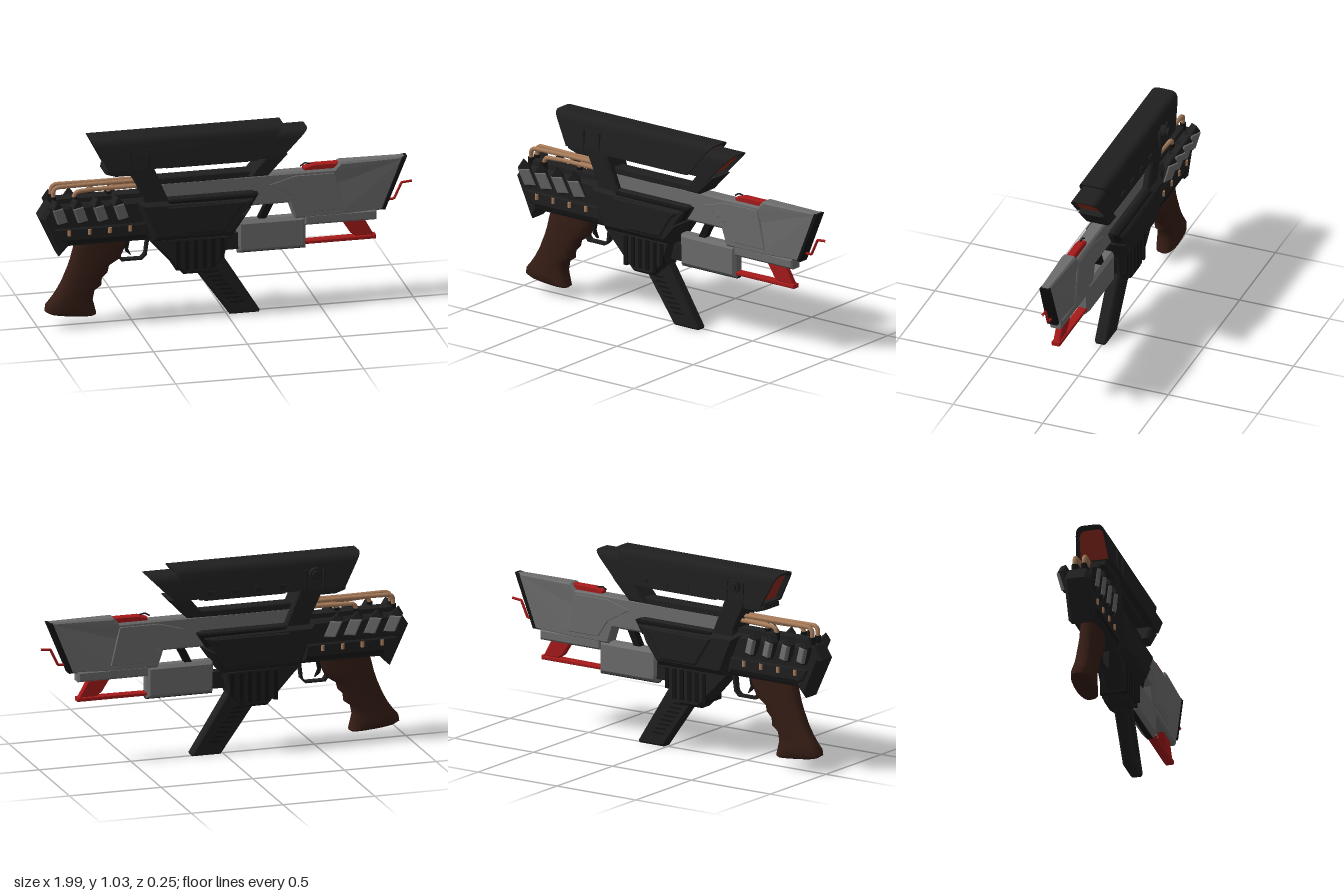
import * as THREE from 'three';
import { toCreasedNormals } from 'three/addons/utils/BufferGeometryUtils.js';

const mat = (color) => new THREE.MeshStandardMaterial({ color });

export function createModel() {
  const root = new THREE.Group();
  root.name = 'rifle';
  root.position.z = 0.01;
  const dark = mat(0x1f1f1f), black = mat(0x131313), grey = mat(0x6c6c6c), red = mat(0xa81a1a);
  const lens = mat(0x8c2a1e), copper = mat(0xa87c5a), brown = mat(0x351d15);

  const add = (name, geo, material, x = 0, y = 0, z = 0) => {
    const m = new THREE.Mesh(geo, material);
    m.name = name;
    m.position.set(x, y, z);
    root.add(m);
    return m;
  };
  const toShape = (pts) => new THREE.Shape(pts.map(([x, y]) => new THREE.Vector2(x, y)));
  // Side outline extruded to +-half, with a chamfer of size b across and t deep
  const slabGeo = (pts, half, b = 0, t = b, hole = null) => {
    const s = toShape(pts);
    if (hole) s.holes.push(toShape(hole));
    const g = new THREE.ExtrudeGeometry(s, {
      depth: 2 * (half - t), bevelEnabled: b > 0, bevelSize: b, bevelThickness: t, bevelOffset: -b, bevelSegments: 1,
    });
    return g.translate(0, 0, t - half);
  };
  const slab = (name, pts, half, material, b, t, hole) => add(name, slabGeo(pts, half, b, t, hole), material);
  const box = (name, w, h, d, material, x, y, z = 0) => add(name, new THREE.BoxGeometry(w, h, d), material, x, y, z);
  const tube = (name, pts, r, material, tension = 0.1) => add(name, new THREE.TubeGeometry(
    new THREE.CatmullRomCurve3(pts.map((p) => new THREE.Vector3(...p)), false, 'catmullrom', tension), 40, r, 8), material);

  // Scope: arched cross-section swept along x, both ends slanted
  const arch = (y0, y1, w0, w1, r) => {
    const s = new THREE.Shape();
    s.moveTo(-w0, y0);
    s.lineTo(w0, y0);
    s.lineTo(w1, y1 - r);
    s.quadraticCurveTo(w1 - 0.005, y1, w1 - r, y1);
    s.lineTo(r - w1, y1);
    s.quadraticCurveTo(0.005 - w1, y1, -w1, y1 - r);
    return s;
  };
  const sweep = (name, shape, hole, rear, front, material) => {
    if (hole) shape.holes.push(hole);
    const g = new THREE.ExtrudeGeometry(shape, { depth: 1, bevelEnabled: false, curveSegments: 8 });
    const p = g.attributes.position;
    const at = ([xLow, xHigh], y) => xLow + (xHigh - xLow) * (y - 0.865) / 0.17;
    for (let i = 0; i < p.count; i++) {
      const a = p.getX(i), y = p.getY(i), t = p.getZ(i);
      p.setXYZ(i, at(rear, y) * (1 - t) + at(front, y) * t, y, -a);
    }
    return add(name, toCreasedNormals(g, 0.6), material);
  };
  sweep('scopeHousing', arch(0.86, 1.035, 0.096, 0.08, 0.045), arch(0.872, 1.022, 0.078, 0.068, 0.035), [-0.645, -0.735], [0.155, 0.295], dark);
  sweep('scopeCore', arch(0.87, 1.024, 0.08, 0.07, 0.035), null, [-0.615, -0.705], [0.14, 0.28], lens);
  sweep('scopeNose', arch(0.862, 1.003, 0.084, 0.076, 0.04), arch(0.872, 0.992, 0.07, 0.065, 0.035), [0.1, 0.2], [0.285, 0.455], dark);
  sweep('scopeLens', arch(0.87, 0.994, 0.072, 0.067, 0.035), null, [0.05, 0.15], [0.262, 0.432], lens);
  box('scopeRail', 0.44, 0.025, 0.1, dark, -0.11, 0.853);
  slab('eyepieceFoot', [[-0.65, 0.865], [-0.655, 0.838], [-0.6, 0.82], [-0.5, 0.82], [-0.5, 0.865]], 0.07, dark, 0.008);
  for (const x of [-0.53, -0.43]) for (const s of [-1, 1]) box('scopeBand', 0.012, 0.11, 0.012, dark, x, 0.915, s * 0.092);
  for (const [r, l, z] of [[0.034, 0.03, -0.095], [0.024, 0.03, -0.112]]) {
    add('scopeKnob', new THREE.CylinderGeometry(r, r, l, 12).rotateX(Math.PI / 2), dark, -0.48, 0.945, z);
  }
  for (let i = 0; i < 4; i++) box('scopeStud', 0.035, 0.025, 0.02, dark, -0.3 + i * 0.13, 0.89, -0.088);

  // Scope mounts and top rail
  slab('rearMount', [[-0.54, 0.87], [-0.405, 0.87], [-0.325, 0.68], [-0.28, 0.6], [-0.46, 0.6], [-0.46, 0.7]], 0.074, dark, 0.01);
  slab('frontMount', [[0.2, 0.87], [0.315, 0.87], [0.21, 0.76], [0.11, 0.76]], 0.07, dark, 0.01);
  slab('topRail', [[-0.42, 0.74], [-0.42, 0.785], [0.16, 0.785], [0.2, 0.75]], 0.037, dark, 0.006);

  // Barrel shroud, narrowing toward the muzzle
  const shroudPts = [[-0.38, 0.757], [-0.3, 0.59], [0.33, 0.59], [0.36, 0.5], [0.6, 0.5], [0.84, 0.508], [0.955, 0.79], [0.6, 0.79], [0.57, 0.757]];
  const shroudGeo = slabGeo(shroudPts, 0.038, 0.01);
  const narrow = (g) => {
    const p = g.attributes.position;
    for (let i = 0; i < p.count; i++) p.setZ(i, p.getZ(i) * (1 - 0.35 * Math.max(0, (p.getX(i) - 0.6) / 0.35)));
    g.computeVertexNormals();
    return g;
  };
  add('barrelShroud', narrow(shroudGeo), grey);
  add('muzzleCap', narrow(slabGeo([[0.82, 0.512], [0.842, 0.508], [0.96, 0.792], [0.93, 0.788]], 0.043, 0.006)), black);
  slab('shroudPanel', [[0.42, 0.53], [0.62, 0.53], [0.57, 0.74], [0.36, 0.74], [0.22, 0.7], [0.36, 0.62]], 0.041, grey, 0.005);
  slab('windowStrut', [[0.16, 0.49], [0.2, 0.49], [0.26, 0.61], [0.22, 0.61]], 0.02, black);
  slab('topCharger', [[0.41, 0.75], [0.41, 0.772], [0.46, 0.786], [0.595, 0.786], [0.595, 0.75]], 0.022, red, 0.006);
  tube('chargerHook', [[0.45, 0.785, 0], [0.42, 0.79, 0], [0.395, 0.775, 0]], 0.004, black);

  // Under-barrel block and red brace
  slab('lowerBlock', [[0.055, 0.37], [0.055, 0.51], [0.42, 0.51], [0.42, 0.335], [0.06, 0.335]], 0.038, grey, 0.018);
  box('blockTrim', 0.36, 0.01, 0.03, black, 0.24, 0.335);
  slab('lowerRail', [[0.41, 0.458], [0.41, 0.515], [0.795, 0.515], [0.795, 0.458]], 0.036, grey, 0.01);
  box('blockLink', 0.08, 0.09, 0.05, dark, 0.03, 0.4);
  slab('braceBar', [[0.41, 0.35], [0.41, 0.368], [0.795, 0.372], [0.795, 0.35]], 0.024, red, 0.004);
  slab('braceStrut', [[0.615, 0.46], [0.735, 0.46], [0.785, 0.37], [0.69, 0.37], [0.66, 0.39]], 0.018, red, 0.006);

  // Front sight hook
  tube('frontSight', [[0.8, 0.55, 0], [0.895, 0.555, 0], [0.935, 0.64, 0], [0.99, 0.645, 0]], 0.007, red, 0.02);

  // Central receiver shell with raised panel
  slab('receiverShell', [[-0.5, 0.68], [0.13, 0.68], [0.155, 0.665], [0.105, 0.59], [0.12, 0.59], [0.02, 0.445], [-0.41, 0.445]], 0.1, dark, 0.035, 0.04);
  slab('receiverPanel', [[-0.34, 0.645], [0.1, 0.645], [0.05, 0.6], [-0.02, 0.485], [-0.24, 0.485]], 0.106, dark, 0.012, 0.006);
  slab('receiverLip', [[-0.33, 0.672], [0.155, 0.672], [0.11, 0.6], [0.08, 0.6], [0.1, 0.65], [-0.32, 0.65]], 0.09, black, 0.006);

  // Foregrip mount with vertical ribs, then the slanted leg
  slab('foregripMount', [[-0.43, 0.46], [0.02, 0.46], [-0.02, 0.32], [-0.1, 0.245], [-0.235, 0.245]], 0.066, dark, 0.02, 0.03);
  for (let i = 0; i < 6; i++) {
    const x = -0.27 + i * 0.047, low = 0.28 + Math.max(0, i - 4) * 0.05;
    box('mountRib', 0.022, 0.44 - low, 0.145, black, x, (0.44 + low) / 2);
  }
  slab('foregripLeg', [[-0.17, 0.26], [-0.08, 0.35], [-0.03, 0.34], [0.175, 0.012], [0.17, 0], [0.015, 0]], 0.033, dark, 0.01);
  for (let i = 0; i < 8; i++) box('legGroove', 0.07, 0.009, 0.07, black, -0.085 + i * 0.019, 0.245 - i * 0.025);

  // Rear body
  slab('rearBody', [[-1, 0.615], [-0.955, 0.685], [-0.45, 0.685], [-0.4, 0.455], [-0.85, 0.455], [-0.9, 0.4]], 0.066, dark, 0.02);
  slab('rearSidePlate', [[-0.93, 0.56], [-0.44, 0.56], [-0.42, 0.47], [-0.85, 0.47], [-0.9, 0.5]], 0.074, dark, 0.01, 0.006);
  box('rearStrip', 0.42, 0.02, 0.152, black, -0.65, 0.486);
  box('topSpine', 0.46, 0.03, 0.07, dark, -0.69, 0.695);

  // Cooling fins, flared backward on both sides, with copper studs below
  for (let i = 0; i < 4; i++) for (const s of [-1, 1]) {
    const x = -0.905 + i * 0.108;
    const fin = (name, pts, half, z, material) => {
      const m = slab(name, pts, half, material, 0.004);
      m.position.set(x, 0.64, s * z);
      m.rotation.y = s * 0.5;
      return m;
    };
    fin('coolingFin', [[-0.055, 0.045], [-0.03, 0.085], [0.005, 0.05], [0.05, -0.055], [-0.01, -0.055]], 0.022, 0.07, dark);
    fin('finPlate', [[-0.045, 0.04], [0.015, 0.04], [0.05, -0.045], [-0.01, -0.045]], 0.012, 0.089, grey);
    add('copperStud', new THREE.CylinderGeometry(0.01, 0.01, 0.03, 8), copper, x + 0.055, 0.535, s * 0.074);
  }

  // Copper pipes from the rear body to the receiver
  [[-0.925, 0.775, 0.018], [-0.82, 0.752, 0.034], [-0.715, 0.752, -0.034], [-0.625, 0.752, 0], [-0.925, 0.775, -0.018]].forEach(([x, y, z]) => {
    tube('copperPipe', [[x, 0.68, z * 1.4], [x, y - 0.025, z * 1.4], [x + 0.008, y - 0.008, z * 1.4], [x + 0.025, y, z * 1.4], [-0.7 + (x > -0.75 ? 0.16 : 0), y, z], [-0.42, y, z]], 0.012, copper);
    add('pipeSocket', new THREE.CylinderGeometry(0.016, 0.018, 0.05, 8), black, x, 0.7, z * 1.4);
  });

  // Pistol grip: rounded rings stacked from the body to the flared base [back x, back y, front x, front y, half width]
  const rings = [
    [-0.8, 0.47, -0.52, 0.47, 0.046], [-0.815, 0.42, -0.535, 0.42, 0.048], [-0.83, 0.36, -0.565, 0.355, 0.048],
    [-0.845, 0.315, -0.622, 0.32, 0.048], [-0.86, 0.28, -0.63, 0.285, 0.05], [-0.872, 0.25, -0.66, 0.255, 0.049],
    [-0.888, 0.22, -0.664, 0.215, 0.051], [-0.905, 0.19, -0.7, 0.19, 0.051], [-0.93, 0.155, -0.71, 0.14, 0.054],
    [-0.96, 0.12, -0.7, 0.1, 0.056], [-0.965, 0.09, -0.69, 0.06, 0.056], [-0.94, 0.075, -0.7, 0.052, 0.046],
  ];
  const n = 20, verts = [], faces = [];
  rings.forEach(([bx, by, fx, fy, w]) => {
    for (let j = 0; j < n; j++) {
      const a = (j / n) * Math.PI * 2, c = Math.cos(a), s = Math.sin(a);
      const u = 0.5 + 0.5 * Math.sign(c) * Math.abs(c) ** 0.8;
      verts.push(bx + (fx - bx) * u, by + (fy - by) * u, w * Math.sign(s) * Math.abs(s) ** 0.7);
    }
  });
  for (let i = 0; i < rings.length - 1; i++) for (let j = 0; j < n; j++) {
    const a = i * n + j, b = i * n + (j + 1) % n;
    faces.push(a, b, a + n, b, b + n, a + n);
  }
  const last = (rings.length - 1) * n;
  for (let j = 1; j < n - 1; j++) faces.push(last, last + j, last + j + 1);
  const grip = new THREE.BufferGeometry();
  grip.setAttribute('position', new THREE.Float32BufferAttribute(verts, 3));
  grip.setIndex(faces);
  grip.computeVertexNormals();
  add('pistolGrip', toCreasedNormals(grip, 0.8), brown);

  // Trigger and guard
  slab('triggerGuard', [[-0.59, 0.46], [-0.575, 0.355], [-0.56, 0.335], [-0.45, 0.335], [-0.425, 0.36], [-0.41, 0.46]], 0.018, dark, 0, 0,
    [[-0.572, 0.452], [-0.562, 0.36], [-0.55, 0.345], [-0.455, 0.345], [-0.436, 0.365], [-0.426, 0.452]]);
  slab('trigger', [[-0.545, 0.46], [-0.51, 0.46], [-0.522, 0.4], [-0.505, 0.36], [-0.535, 0.385]], 0.009, black);

  return root;
}
